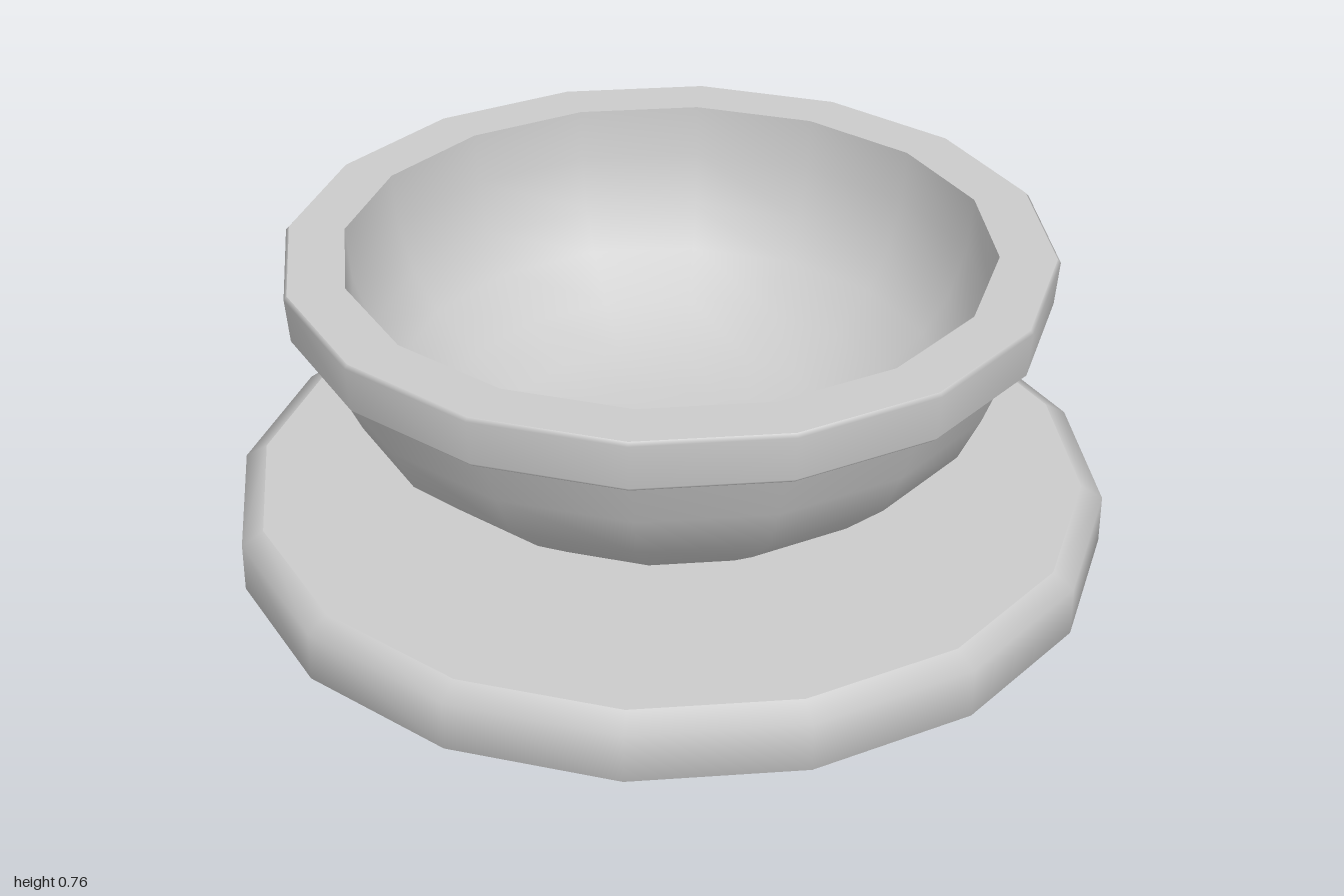
import * as THREE from 'three';
import { mergeGeometries } from 'three/addons/utils/BufferGeometryUtils.js';

const SIDES = 16;
const material = new THREE.MeshStandardMaterial({ color: 0xcccccc });

// Turn several profile sections; each is smooth, with a sharp edge between sections
function turned(name, sections) {
  const parts = sections.map((points) =>
    new THREE.LatheGeometry(points.map(([r, y]) => new THREE.Vector2(r, y)), SIDES));
  const mesh = new THREE.Mesh(mergeGeometries(parts), material);
  mesh.name = name;
  return mesh;
}

export function createModel() {
  const group = new THREE.Group();
  group.name = 'bowlOnPlate';

  // Thick round plate with bevelled edges
  group.add(turned('plate', [
    [[0, 0], [0.95, 0]],
    [[0.95, 0], [1, 0.035], [1, 0.15], [0.95, 0.18]],
    [[0.95, 0.18], [0, 0.18]],
  ]));

  // Rounded outer wall of the bowl
  group.add(turned('bowlOuter', [
    [[0, 0.175], [0.37, 0.18], [0.48, 0.22], [0.6, 0.305], [0.71, 0.405], [0.76, 0.51], [0.81, 0.64]],
  ]));

  // Raised band around the mouth
  group.add(turned('rim', [
    [[0.8, 0.64], [0.845, 0.64]],
    [[0.845, 0.64], [0.855, 0.65], [0.864, 0.752], [0.857, 0.76]],
    [[0.857, 0.76], [0.73, 0.76]],
  ]));

  // Hollow inside of the bowl
  group.add(turned('bowlInner', [
    [[0.73, 0.76], [0.72, 0.64], [0.68, 0.52], [0.62, 0.43], [0.52, 0.34], [0.4, 0.27], [0.25, 0.235], [0, 0.225]],
  ]));

  return group;
}
